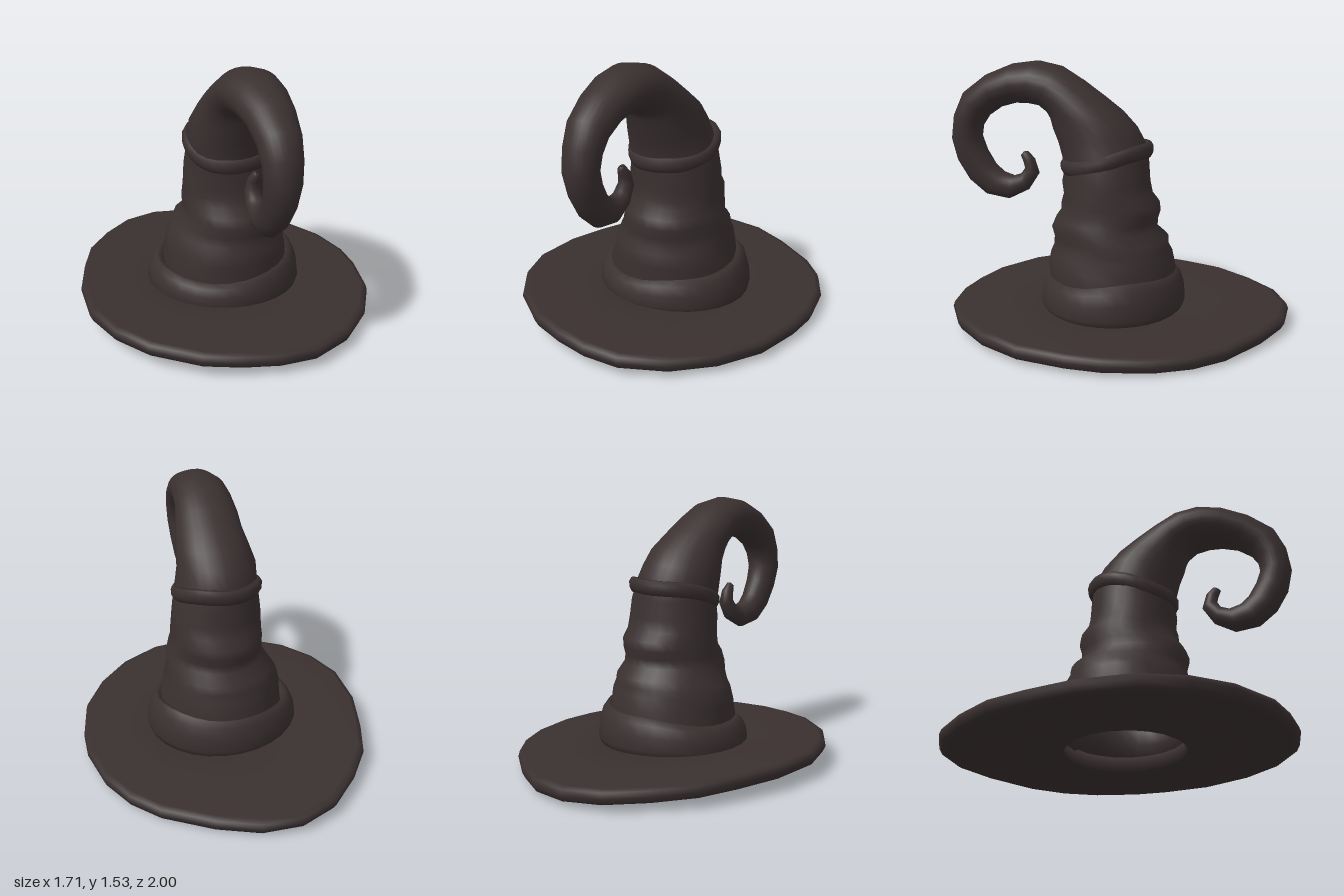
import * as THREE from 'three';

// Skin a list of rings (each running from +z towards +x) with smooth normals
function loft(rings, closed = false) {
  const n = rings[0].length;
  const m = rings.length;
  const index = [];
  for (let i = 0; i < (closed ? m : m - 1); i++) {
    const k = (i + 1) % m;
    for (let j = 0; j < n; j++) {
      const l = (j + 1) % n;
      const a = i * n + j, b = i * n + l, c = k * n + j, d = k * n + l;
      index.push(a, b, c, b, d, c);
    }
  }
  const geometry = new THREE.BufferGeometry().setFromPoints(rings.flat());
  geometry.setIndex(index);
  geometry.computeVertexNormals();
  return geometry;
}

// Ring spanning a back point and a front point (z, y) and the x range xl..xr
function spanRing([zb, yb, zf, yf, xl, xr], wrinkle = 0, n = 28) {
  const ring = [];
  for (let j = 0; j < n; j++) {
    const a = (j / n) * Math.PI * 2;
    const f = 1 + wrinkle * (Math.sin(3 * a + yb * 16) + Math.sin(5 * a - yb * 23)) * Math.abs(Math.sin(a));
    const s = Math.sin(a) * f, c = Math.cos(a) * f;
    ring.push(new THREE.Vector3(
      (xl + xr) / 2 + s * (xr - xl) / 2,
      (yb + yf) / 2 + c * (yf - yb) / 2,
      (zb + zf) / 2 + c * (zf - zb) / 2));
  }
  return ring;
}

// Crumpled cone: y, back z, front z, left edge x, right edge x
const BODY = [
  [0.09, -0.36, 0.41, -0.38, 0.38],
  [0.28, -0.35, 0.40, -0.36, 0.37],
  [0.37, -0.335, 0.41, -0.345, 0.36],
  [0.44, -0.32, 0.395, -0.335, 0.345],
  [0.48, -0.30, 0.375, -0.315, 0.335],
  [0.53, -0.30, 0.37, -0.29, 0.325],
  [0.59, -0.235, 0.385, -0.255, 0.315],
  [0.64, -0.235, 0.365, -0.25, 0.305],
  [0.69, -0.25, 0.33, -0.245, 0.295],
  [0.74, -0.245, 0.325, -0.24, 0.295],
  [0.79, -0.205, 0.31, -0.24, 0.29],
  [0.86, -0.19, 0.32, -0.235, 0.285],
];
// Bent and curling tip: outer z, y, inner z, y, left edge x, right edge x
const TAIL = [
  [-0.18, 0.97, 0.31, 0.92, -0.23, 0.27],
  [-0.16, 1.08, 0.32, 0.99, -0.225, 0.25],
  [-0.11, 1.17, 0.345, 1.08, -0.22, 0.235],
  [-0.03, 1.26, 0.375, 1.16, -0.20, 0.225],
  [0.08, 1.345, 0.39, 1.215, -0.185, 0.205],
  [0.20, 1.43, 0.41, 1.25, -0.18, 0.19],
  [0.33, 1.51, 0.46, 1.285, -0.17, 0.17],
  [0.47, 1.54, 0.53, 1.295, -0.165, 0.155],
  [0.62, 1.52, 0.60, 1.295, -0.15, 0.145],
  [0.78, 1.455, 0.69, 1.27, -0.13, 0.13],
  [0.92, 1.35, 0.77, 1.215, -0.115, 0.115],
  [0.98, 1.22, 0.81, 1.155, -0.105, 0.105],
  [1.0, 1.08, 0.82, 1.09, -0.10, 0.095],
  [0.97, 0.95, 0.79, 1.01, -0.09, 0.085],
  [0.90, 0.83, 0.74, 0.925, -0.085, 0.075],
  [0.80, 0.745, 0.69, 0.88, -0.08, 0.065],
  [0.66, 0.72, 0.63, 0.86, -0.07, 0.055],
  [0.54, 0.78, 0.585, 0.875, -0.06, 0.045],
  [0.475, 0.88, 0.56, 0.91, -0.05, 0.035],
  [0.50, 0.965, 0.57, 0.95, -0.04, 0.03],
  [0.54, 1.01, 0.585, 0.985, -0.025, 0.015],
  [0.562, 1.008, 0.568, 1.004, -0.008, 0],
];
// Brim edge: x, z
const OUTLINE = [
  [0, 0.97], [0.21, 0.96], [0.45, 0.84], [0.64, 0.65], [0.78, 0.41], [0.84, 0.13],
  [0.85, -0.07], [0.80, -0.33], [0.70, -0.53], [0.56, -0.69], [0.30, -0.87], [0.07, -0.98],
  [-0.16, -1], [-0.37, -0.92], [-0.55, -0.75], [-0.70, -0.55], [-0.78, -0.33], [-0.85, -0.07],
  [-0.86, 0.24], [-0.78, 0.48], [-0.64, 0.68], [-0.40, 0.86], [-0.20, 0.93],
];

// Brim ring: t runs from the head hole (0) to the edge (1), dy from the middle surface
function brimRing([t, dy]) {
  return OUTLINE.map(([ox, oz]) => {
    const a = Math.atan2(ox, oz);
    const x = THREE.MathUtils.lerp(0.34 * Math.sin(a), ox, t);
    const z = THREE.MathUtils.lerp(0.02 + 0.34 * Math.cos(a), oz, t);
    const sag = 0.085 - 0.04 * x + 0.016 * z + 0.03 * Math.max(x, 0) ** 4;
    return new THREE.Vector3(x, sag + dy, z);
  });
}

// Cloth band: profile of [offset, height], placed on an ellipse by a rule
function bandRing([r, h], rule, n = 28) {
  return Array.from({ length: n }, (_, j) => rule((j / n) * Math.PI * 2, r, h));
}

export function createModel() {
  const felt = new THREE.MeshStandardMaterial({ color: 0x3a3030, side: THREE.DoubleSide });
  felt.name = 'darkFelt';
  const hat = new THREE.Group();
  hat.name = 'hat';
  const add = (name, geometry) => {
    const mesh = new THREE.Mesh(geometry, felt);
    mesh.name = name;
    hat.add(mesh);
  };

  // Wide wavy brim with a hole for the head
  const brimProfile = [[0, -0.04], [0.45, -0.043], [0.9, -0.043], [0.97, -0.03], [1, 0.005],
    [0.985, 0.035], [0.93, 0.045], [0.45, 0.045], [0, 0.05]];
  add('brim', loft(brimProfile.map(brimRing), true));

  // Cone and curled tip in one skin
  const bodyRings = BODY.map(([y, zb, zf, xl, xr]) => spanRing([zb, y, zf, y, xl, xr], 0.014));
  const tailRings = TAIL.map((row, i) => spanRing(row, i < 5 ? 0.012 : 0));
  add('coneAndCurledTip', loft([...bodyRings, ...tailRings]));

  // Rolled band at the foot of the cone, its top edge higher at the back and left
  const footProfile = [[-0.06, 0], [0.005, 0], [0.02, 0.2], [0.012, 0.55], [-0.008, 0.83],
    [-0.035, 0.99], [-0.06, 0.97], [-0.085, 0.75], [-0.09, 0.4]];
  const footRule = (a, r, h) => {
    const s = Math.sin(a), c = Math.cos(a);
    const top = 0.31 + 0.025 * s - 0.03 * c + 0.008 * Math.sin(4 * a);
    const low = 0.115 - 0.01 * s;
    return new THREE.Vector3((0.435 + r) * s, low + (top - low) * h, 0.028 + (0.405 + r) * c);
  };
  add('footBand', loft(footProfile.map((p) => bandRing(p, footRule)), true));

  // Narrow tilted band below the bend
  const upperProfile = [[-0.02, -0.04], [0.006, -0.042], [0.02, -0.015], [0.022, 0.018],
    [0.008, 0.042], [-0.015, 0.042], [-0.025, 0]];
  const upperRule = (a, r, h) => {
    const s = Math.sin(a), c = Math.cos(a);
    const y = 0.995 - 0.058 * c + 0.008 * Math.sin(3 * a + 1);
    return new THREE.Vector3(0.018 + (0.24 + r) * s, y + h, 0.063 + (0.247 + r) * c);
  };
  add('upperBand', loft(upperProfile.map((p) => bandRing(p, upperRule)), true));

  return hat;
}
